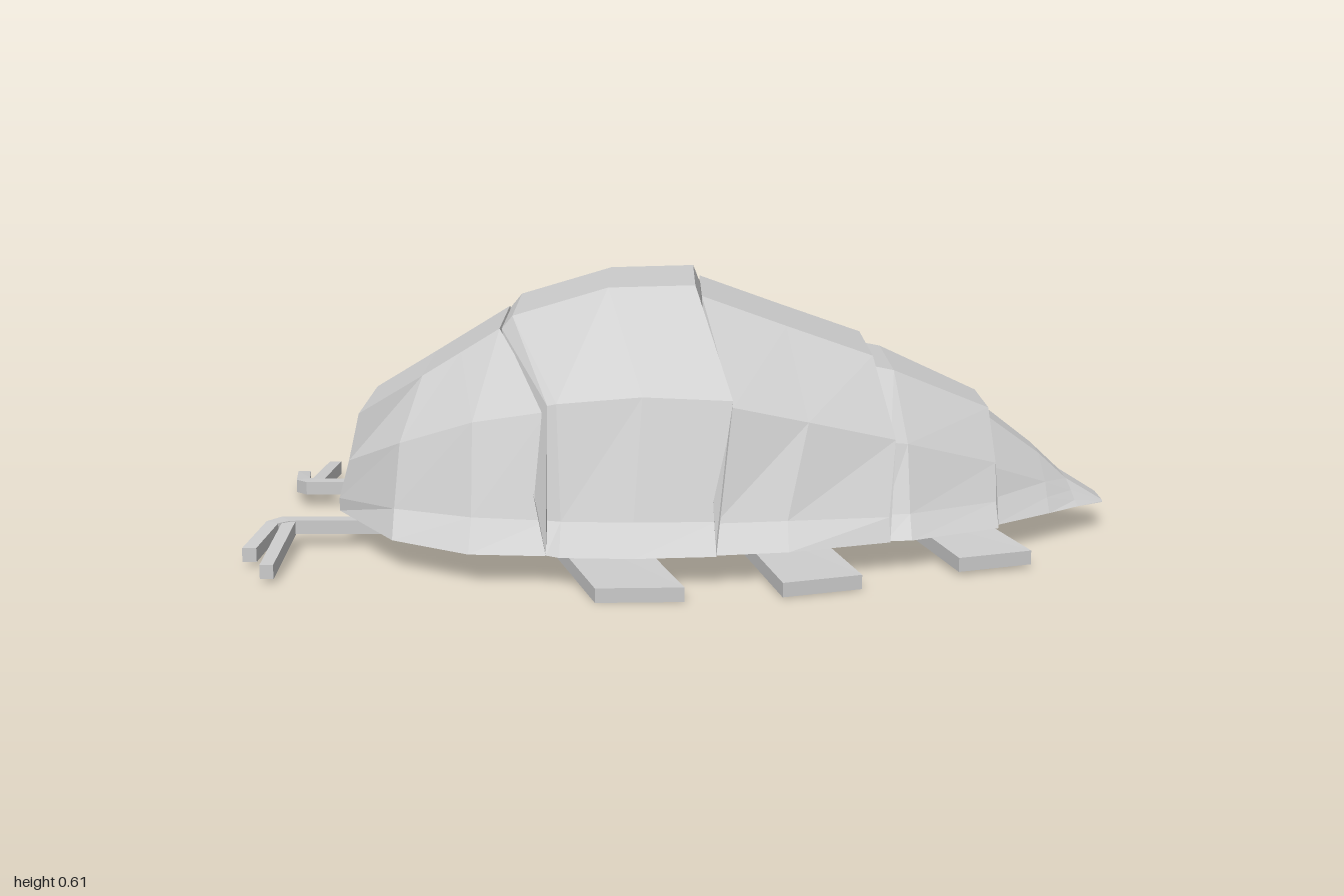
import * as THREE from 'three';

const material = new THREE.MeshStandardMaterial({ color: 0xcccccc, flatShading: true });

// Joins cross-section loops into a closed, faceted solid with end caps.
function loft(name, rings) {
  const pos = [];
  const tri = (a, b, c) => pos.push(...a, ...b, ...c);
  const n = rings[0].length;
  for (let r = 0; r < rings.length - 1; r++) {
    const A = rings[r], B = rings[r + 1];
    for (let i = 0; i < n; i++) {
      const j = (i + 1) % n;
      tri(A[i], B[i], B[j]);
      tri(A[i], B[j], A[j]);
    }
  }
  const first = rings[0], last = rings[rings.length - 1];
  for (let i = 1; i < n - 1; i++) {
    tri(first[0], first[i], first[i + 1]);
    tri(last[0], last[i + 1], last[i]);
  }
  const geo = new THREE.BufferGeometry();
  geo.setAttribute('position', new THREE.Float32BufferAttribute(pos, 3));
  geo.computeVertexNormals();
  const mesh = new THREE.Mesh(geo, material);
  mesh.name = name;
  return mesh;
}

const flip = ([x, y, z]) => [x, y, -z];

// Half section (base, skirt, shoulder, top) mirrored to a full arch.
const arch = (half) => [...half, ...half.map(flip).reverse()];

// Rectangular section of a flat strip between two plan corners.
const strip = ([xa, za], [xb, zb], y, t = 0.032) =>
  [[xa, y, za], [xa, y + t, za], [xb, y + t, zb], [xb, y, zb]];

// Shell plates from head to tail; points are [x, y, z].
const plates = {
  headPlate: [
    [[-0.81, 0.08, 0.17], [-0.81, 0.11, 0.17], [-0.785, 0.2, 0.17], [-0.76, 0.31, 0.165]],
    [[-0.66, 0.07, 0.4], [-0.66, 0.13, 0.35], [-0.65, 0.27, 0.3], [-0.61, 0.4, 0.17]],
    [[-0.48, 0.07, 0.52], [-0.48, 0.13, 0.43], [-0.48, 0.33, 0.36], [-0.52, 0.455, 0.17]],
    [[-0.31, 0.07, 0.535], [-0.31, 0.13, 0.46], [-0.31, 0.36, 0.39], [-0.43, 0.51, 0.17]],
  ],
  shoulderPlate: [
    [[-0.31, 0.07, 0.53], [-0.31, 0.13, 0.46], [-0.31, 0.375, 0.4], [-0.425, 0.51, 0.17]],
    [[-0.28, 0.07, 0.55], [-0.28, 0.13, 0.47], [-0.29, 0.38, 0.405], [-0.4, 0.54, 0.172]],
    [[-0.12, 0.07, 0.56], [-0.12, 0.13, 0.48], [-0.1, 0.395, 0.405], [-0.18, 0.605, 0.172]],
    [[0.06, 0.07, 0.545], [0.06, 0.13, 0.475], [0.1, 0.385, 0.4], [0.02, 0.61, 0.172]],
  ],
  middlePlate: [
    [[0.06, 0.07, 0.535], [0.06, 0.125, 0.47], [0.1, 0.37, 0.4], [0.035, 0.585, 0.17]],
    [[0.22, 0.07, 0.51], [0.22, 0.125, 0.45], [0.27, 0.33, 0.37], [0.23, 0.515, 0.17]],
    [[0.45, 0.07, 0.43], [0.45, 0.12, 0.4], [0.47, 0.28, 0.325], [0.43, 0.445, 0.17]],
  ],
  rearPlate: [
    [[0.44, 0.07, 0.42], [0.44, 0.12, 0.38], [0.46, 0.27, 0.31], [0.43, 0.42, 0.165]],
    [[0.5, 0.07, 0.415], [0.5, 0.12, 0.37], [0.5, 0.265, 0.3], [0.48, 0.41, 0.165]],
    [[0.71, 0.07, 0.31], [0.71, 0.12, 0.26], [0.715, 0.2, 0.21], [0.71, 0.31, 0.11]],
  ],
  tailPlate: [
    [[0.7, 0.07, 0.29], [0.7, 0.12, 0.24], [0.7, 0.19, 0.2], [0.7, 0.295, 0.105]],
    [[0.85, 0.07, 0.175], [0.85, 0.1, 0.14], [0.85, 0.13, 0.11], [0.84, 0.19, 0.065]],
    [[0.93, 0.07, 0.11], [0.925, 0.08, 0.09], [0.92, 0.1, 0.07], [0.91, 0.125, 0.052]],
    [[1.0, 0.065, 0.05], [1.0, 0.067, 0.048], [1.0, 0.068, 0.046], [1.0, 0.07, 0.044]],
  ],
};

// Leg pairs: inner x range and the two outer tip corners [x, z].
const legs = [
  { inner: [-0.36, -0.17], tip: [[-0.2, 0.66], [-0.01, 0.655]], y: 0.002 },
  { inner: [0.08, 0.25], tip: [[0.2, 0.63], [0.375, 0.57]], y: 0.004 },
  { inner: [0.5, 0.67], tip: [[0.6, 0.46], [0.77, 0.4]], y: 0.01 },
];

export function createModel() {
  const model = new THREE.Group();
  model.name = 'armoredBug';

  const shell = new THREE.Group();
  shell.name = 'shell';
  for (const [name, halves] of Object.entries(plates)) shell.add(loft(name, halves.map(arch)));
  model.add(shell);

  // Each leg pair is one bent strip passing beneath the body.
  legs.forEach(({ inner: [a, b], tip: [p, q], y }, i) => {
    model.add(loft('legPair' + (i + 1), [
      strip([p[0], -p[1]], [q[0], -q[1]], y),
      strip([a, -0.17], [b, -0.17], 0.034),
      strip([a, 0.17], [b, 0.17], 0.034),
      strip(p, q, y),
    ]));
  });

  // Forked feelers, one on each side of the head.
  for (const side of [1, -1]) {
    const feeler = new THREE.Group();
    feeler.name = side > 0 ? 'leftFeeler' : 'rightFeeler';
    const place = (rings) => side > 0 ? rings : rings.map((r) => r.map(flip).reverse());
    feeler.add(loft('feelerArm', place([
      strip([-0.4, 0.17], [-0.4, 0.21], 0.034),
      strip([-0.945, 0.17], [-0.92, 0.21], 0.034),
      strip([-0.975, 0.205], [-0.945, 0.225], 0.032),
      strip([-1.0, 0.375], [-0.968, 0.375], 0.014),
    ])));
    feeler.add(loft('feelerProng', place([
      strip([-0.938, 0.19], [-0.908, 0.19], 0.033),
      strip([-0.938, 0.5], [-0.908, 0.5], 0.01),
    ])));
    model.add(feeler);
  }
  return model;
}
